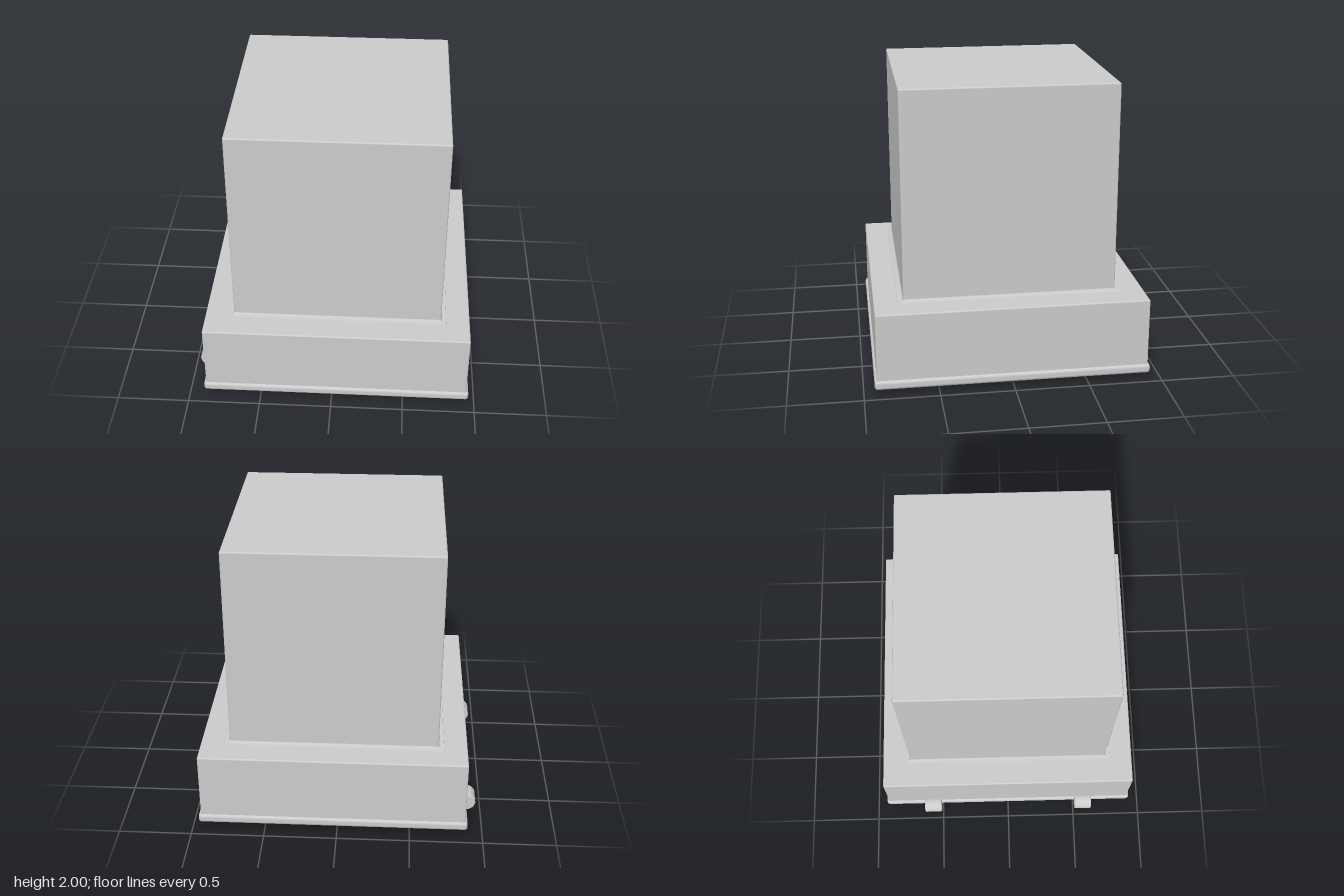
import * as THREE from 'three';
import { toCreasedNormals } from 'three/addons/utils/BufferGeometryUtils.js';
import { RoundedBoxGeometry } from 'three/addons/geometries/RoundedBoxGeometry.js';

const CENTRE_X = 0.03;

export function createModel() {
  const model = new THREE.Group();
  const material = new THREE.MeshStandardMaterial({ color: 0xcccccc });

  function add(name, geometry, x, y, z) {
    const mesh = new THREE.Mesh(geometry, material);
    mesh.name = name;
    mesh.position.set(x, y, z);
    model.add(mesh);
    return mesh;
  }

  // Square block with softened edges, between two heights
  function block(name, width, y0, y1, radius) {
    const geometry = new RoundedBoxGeometry(width, y1 - y0, width, 3, radius);
    add(name, geometry, CENTRE_X, (y0 + y1) / 2, 0);
  }

  block('tower', 1.43, 0.5, 2, 0.01);
  block('base', 1.825, 0.06, 0.57, 0.01);
  block('bottomRim', 1.856, 0.04, 0.105, 0.022);

  // Shallow fillet where the tower meets the base
  const profile = [[0.752, 0.568], [0.75, 0.573], [0.728, 0.575], [0.718, 0.581], [0.714, 0.592]]
    .map(([half, y]) => new THREE.Vector2(half * Math.SQRT2, y));
  const fillet = new THREE.LatheGeometry(profile, 4, Math.PI / 4);
  add('towerFillet', toCreasedNormals(fillet, 0.7), CENTRE_X, 0, 0);

  // Two hinge knuckles with bevelled ends along the right-hand edge
  const r = 0.065, h = 0.064, b = 0.007;
  const knuckle = new THREE.LatheGeometry(
    [[0, -h], [r - b, -h], [r, -h + b], [r, h - b], [r - b, h], [0, h]]
      .map(([x, y]) => new THREE.Vector2(x, y)), 40);
  for (const side of [-1, 1]) {
    const hinge = add(side > 0 ? 'frontHinge' : 'backHinge',
      toCreasedNormals(knuckle, 0.5), -0.9, r, side * 0.573);
    hinge.rotation.x = Math.PI / 2;
  }

  return model;
}
